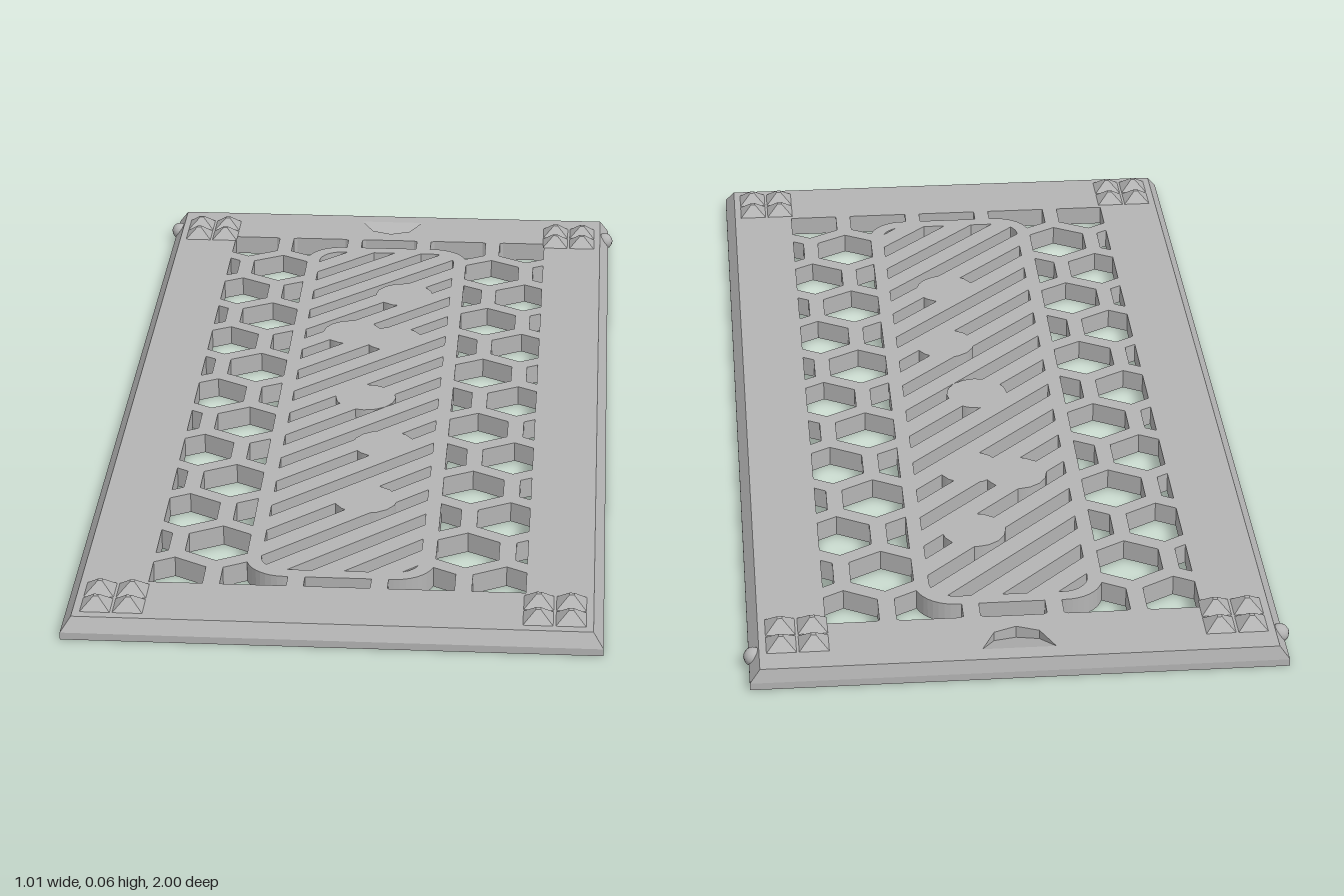
import * as THREE from 'three';
import { mergeGeometries } from 'three/addons/utils/BufferGeometryUtils.js';

const H = 0.04; // plate thickness
const V = (x, y) => new THREE.Vector2(x, y);

// plan coordinates are (x, -z); the slab rises from y = 0 to H
function slab(shape, steps = 1) {
  const g = new THREE.ExtrudeGeometry(shape, { depth: H, steps, bevelEnabled: false, curveSegments: 5 });
  return g.rotateX(-Math.PI / 2);
}

function reshape(geometry, rule) {
  const p = geometry.attributes.position;
  const v = new THREE.Vector3();
  for (let i = 0; i < p.count; i++) {
    rule(v.fromBufferAttribute(p, i));
    p.setXYZ(i, v.x, v.y, v.z);
  }
  geometry.computeVertexNormals();
  return geometry;
}

const rect = (x0, y0, x1, y1) => [V(x0, y0), V(x1, y0), V(x1, y1), V(x0, y1)];

// keep the part of a convex polygon where axis * sign <= limit * sign
function cut(poly, axis, limit, sign) {
  const out = [];
  poly.forEach((a, i) => {
    const b = poly[(i + 1) % poly.length];
    const da = (a[axis] - limit) * sign, db = (b[axis] - limit) * sign;
    if (da <= 0) out.push(a);
    if (da * db < 0) out.push(a.clone().lerp(b, da / (da - db)));
  });
  return out;
}

// straight strut from a to b, trimmed to a rectangle
function strut(a, b, width, [x0, y0, x1, y1]) {
  const d = b.clone().sub(a).normalize();
  const n = V(-d.y, d.x).multiplyScalar(width / 2);
  const e = d.multiplyScalar(width * 0.28);
  const s = a.clone().sub(e), t = b.clone().add(e);
  let poly = [s.clone().sub(n), t.clone().sub(n), t.clone().add(n), s.clone().add(n)];
  poly = cut(cut(poly, 'x', x0, -1), 'x', x1, 1);
  poly = cut(cut(poly, 'y', y0, -1), 'y', y1, 1);
  if (poly.length < 3 || Math.abs(THREE.ShapeUtils.area(poly)) < 1e-5) return null;
  return slab(new THREE.Shape(poly));
}

function roundedRect(w, h, r) {
  const s = new THREE.Shape();
  s.absarc(w - r, h - r, r, 0, Math.PI / 2);
  s.absarc(-w + r, h - r, r, Math.PI / 2, Math.PI);
  s.absarc(-w + r, -h + r, r, Math.PI, Math.PI * 1.5);
  s.absarc(w - r, -h + r, r, Math.PI * 1.5, Math.PI * 2);
  s.closePath();
  return s;
}

export function createModel() {
  const model = new THREE.Group();
  model.name = 'ventPanel';
  const grey = new THREE.MeshStandardMaterial({ color: 0xb4b4b4 });
  grey.name = 'grey';
  const add = (name, geometry) => {
    const mesh = new THREE.Mesh(geometry, grey);
    mesh.name = name;
    model.add(mesh);
    return mesh;
  };

  // frame with sloped edges, one large opening and a finger notch
  const notch = [V(-0.068, 0.96), V(-0.042, 0.905), V(0, 0.888), V(0.042, 0.905), V(0.068, 0.96)];
  const plan = new THREE.Shape(rect(-0.495, -1, 0.495, 1));
  plan.holes.push(new THREE.Path(rect(-0.35, -0.84, 0.35, 0.85)), new THREE.Path(notch));
  add('frame', reshape(slab(plan, 2), (v) => {
    const top = v.y > 0.03;
    if (v.y > 0.01 && !top) v.y = 0.014;
    if (top && Math.abs(v.x) > 0.45) v.x = Math.sign(v.x) * 0.476;
    if (top && v.z > 0.98) v.z = 0.984;
    if (top && v.z < -0.98) v.z = -0.994;
  }));

  // sloping floor of the finger notch
  add('fingerNotch', reshape(slab(new THREE.Shape(notch)), (v) => {
    if (v.y > 0.03) v.y = H - 0.024 * (v.z + 0.96) / 0.072;
  }));

  // honeycomb struts around the centre panel
  const pitch = 0.156, radius = pitch / Math.sqrt(3), row = 0.135;
  const regions = {
    leftHoneycomb: [0.175, -0.84, 0.35, 0.85],
    rightHoneycomb: [-0.35, -0.84, -0.175, 0.85],
    frontHoneycomb: [-0.175, -0.84, 0.175, -0.79],
    backHoneycomb: [-0.175, 0.8, 0.175, 0.85],
  };
  for (const [name, region] of Object.entries(regions)) {
    const parts = [];
    for (let k = -7; k <= 7; k++) {
      for (let j = -4; j <= 4; j++) {
        const cx = (j + (k % 2 ? 0.5 : 0)) * pitch;
        const corner = (i) => {
          const a = Math.PI / 6 + i * Math.PI / 3;
          return V(cx + radius * Math.cos(a), k * row + radius * Math.sin(a));
        };
        for (let i = 0; i < 3; i++) {
          const g = strut(corner(i), corner(i + 1), 0.032, region);
          if (g) parts.push(g);
        }
        const g = strut(corner(5), corner(6), 0.032, region);
        if (g) parts.push(g);
      }
    }
    add(name, mergeGeometries(parts));
  }

  // rounded border of the centre panel
  const border = roundedRect(0.178, 0.803, 0.075);
  border.holes.push(roundedRect(0.15, 0.775, 0.05));
  add('panelBorder', slab(border));

  // diagonal slats
  const slats = [];
  for (let c = -0.86; c < 0.9; c += 0.106) {
    const g = strut(V(-0.3, c - 0.3), V(0.3, c + 0.3), 0.042, [-0.155, -0.78, 0.155, 0.78]);
    if (g) slats.push(g);
  }
  add('diagonalSlats', mergeGeometries(slats));

  // plain round pads joining the slats
  const pads = [[0.05, 0.54], [-0.05, 0.33], [0.04, 0.3], [0, 0], [0.05, -0.22], [0.03, -0.47]];
  add('slatPads', mergeGeometries(pads.map(([x, y]) => {
    const g = new THREE.CylinderGeometry(0.062, 0.062, H, 16);
    return g.translate(x, H / 2, -y);
  })));

  // pyramid studs, four at each corner
  const studs = [];
  for (const x of [-0.435, -0.375, 0.375, 0.435]) {
    for (const z of [-0.915, -0.855, 0.878, 0.938]) {
      const g = new THREE.CylinderGeometry(0.006, 0.039, 0.021, 4).toNonIndexed();
      g.rotateY(Math.PI / 4).translate(x, H + 0.0105, z);
      g.computeVertexNormals();
      studs.push(g);
    }
  }
  add('cornerStuds', mergeGeometries(studs));

  // latch bumps near the back on both sides
  for (const side of [-1, 1]) {
    const bump = add(side > 0 ? 'leftLatchBump' : 'rightLatchBump', new THREE.SphereGeometry(0.018, 12, 8));
    bump.position.set(side * 0.487, 0.022, -0.922);
  }
  return model;
}
